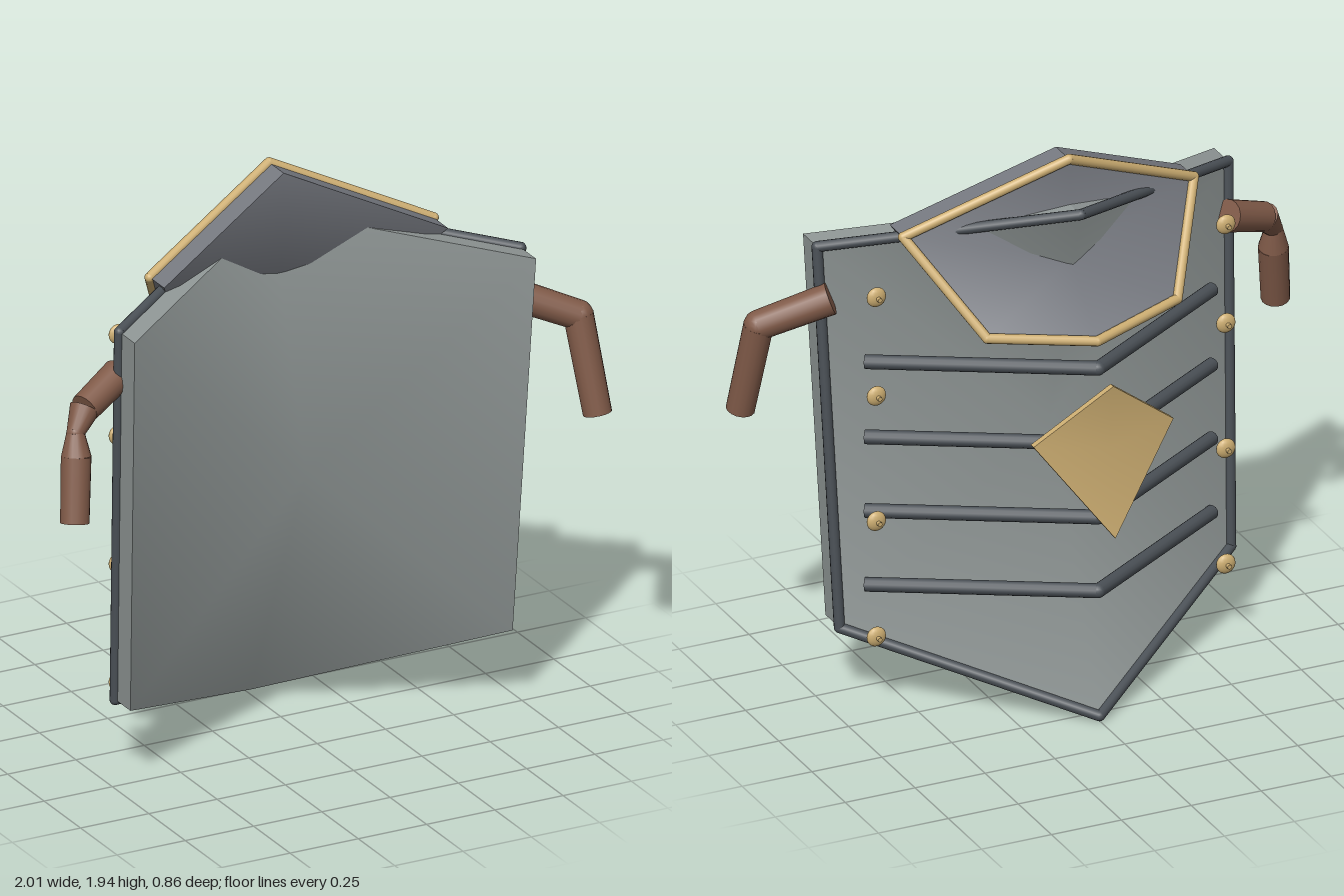
import * as THREE from 'three';

const mat = (name, color) => {
  const m = new THREE.MeshStandardMaterial({ color });
  m.name = name;
  return m;
};
const V = (p) => new THREE.Vector3(...p);

export function createModel() {
  const steel = mat('steel', 0x8f9695);
  const collarSteel = mat('collar steel', 0x767980);
  const darkSteel = mat('dark steel', 0x4b5157);
  const gold = mat('gold', 0xcdae72);
  const leather = mat('leather', 0x815b49);

  const model = new THREE.Group();
  model.name = 'breastplate';

  const add = (name, geometry, material, parent = model) => {
    const mesh = new THREE.Mesh(geometry, material);
    mesh.name = name;
    parent.add(mesh);
    return mesh;
  };
  const group = (name) => {
    const g = new THREE.Group();
    g.name = name;
    model.add(g);
    return g;
  };

  // Full outline, counter-clockwise from the front, from top, side and bottom points
  const mirrorOutline = (top, sides, bottom) => [
    top, ...sides.map(([x, y, z]) => [-x, y, z]), bottom, ...sides.slice().reverse(),
  ];

  // Folded plate: faces fan out from the mean of the outline, with flat side walls
  function plate(outline, depth) {
    const n = outline.length;
    const centre = [0, 1, 2].map((k) => outline.reduce((s, p) => s + p[k], 0) / n);
    const pos = [], index = [];
    for (const dz of [depth, 0]) {
      const base = pos.length / 3;
      for (const p of [centre, ...outline]) pos.push(p[0], p[1], p[2] + dz);
      for (let i = 0; i < n; i++) {
        const a = base + 1 + i, b = base + 1 + ((i + 1) % n);
        index.push(base, ...(dz ? [a, b] : [b, a]));
      }
    }
    for (let i = 0; i < n; i++) {
      const a = outline[i], b = outline[(i + 1) % n], s = pos.length / 3;
      pos.push(...a, ...b, b[0], b[1], b[2] + depth, a[0], a[1], a[2] + depth);
      index.push(s, s + 1, s + 2, s, s + 2, s + 3);
    }
    const g = new THREE.BufferGeometry();
    g.setAttribute('position', new THREE.Float32BufferAttribute(pos, 3));
    g.setIndex(index);
    g.computeVertexNormals();
    return g;
  }

  // Straight rod from a to b
  function rod(name, a, b, r0, r1, material, parent, sides = 12) {
    const from = V(a), dir = V(b).sub(from);
    const mesh = add(name, new THREE.CylinderGeometry(r1, r0, dir.length(), sides), material, parent);
    mesh.position.copy(from).addScaledVector(dir, 0.5);
    mesh.quaternion.setFromUnitVectors(new THREE.Vector3(0, 1, 0), dir.normalize());
  }
  function ball(name, p, r, material, parent) {
    add(name, new THREE.SphereGeometry(r, 14, 10), material, parent).position.set(...p);
  }
  function rim(name, outline, r, material) {
    const g = group(name);
    outline.forEach((p, i) => {
      rod('rimRod', p, outline[(i + 1) % outline.length], r, r, material, g);
      ball('rimJoint', p, r, material, g);
    });
  }

  // Main plate with its rolled edge
  const body = mirrorOutline([0, 1.76, -0.17], [[0.735, 1.605, 0.27], [0.7, 0.27, 0.175]], [0, 0.02, -0.31]);
  add('mainPlate', plate(body, 0.105), steel);
  rim('plateRim', body, 0.018, darkSteel);

  // Neck collar with a gold edge
  const collar = mirrorOutline([0, 1.92, -0.08], [[0.52, 1.68, 0.075], [0.34, 1.39, -0.18]], [0, 1.36, -0.295]);
  add('collar', plate(collar, 0.1), collarSteel);
  rim('collarRim', collar, 0.017, gold);

  // Diamond-shaped ornament
  const diamond = mirrorOutline([0, 1.25, -0.415], [[0.25, 1.05, -0.34]], [0, 0.71, -0.43]);
  add('diamondOrnament', plate(diamond, 0.022), gold);

  // Four bent ribs
  for (const y of [0.42, 0.685, 0.95, 1.22]) {
    const g = group('rib');
    const apex = [0, y + 0.045, -0.3];
    for (const s of [-1, 1]) rod('ribRod', [s * 0.62, y, 0.15], apex, 0.024, 0.024, darkSteel, g);
    ball('ribJoint', apex, 0.024, darkSteel, g);
  }

  for (const s of [-1, 1]) {
    // Rivets: flat domes with a small knob
    for (const y of [0.275, 0.69, 1.14, 1.495]) {
      const g = group('rivet');
      g.position.set(s * 0.625, y, 0.055);
      add('dome', new THREE.SphereGeometry(0.034, 16, 10), gold, g).scale.z = 0.5;
      rod('knob', [0, 0, 0], [0, 0, -0.03], 0.008, 0.008, gold, g, 8);
    }

    // Shoulder straps; the one on the -x side is pinched at its bend
    const g = group('strap');
    const top = [s * 0.71, 1.435, 0.22], end = [s * 0.957, 1.02, 0.38];
    if (s > 0) {
      const elbow = [0.925, 1.345, 0.31];
      rod('upperStrap', top, elbow, 0.054, 0.05, leather, g, 16);
      ball('strapBend', elbow, 0.05, leather, g);
      rod('lowerStrap', elbow, end, 0.05, 0.048, leather, g, 16);
    } else {
      const upper = [-0.87, 1.37, 0.285], pinch = [-0.92, 1.305, 0.315], lower = [-0.927, 1.23, 0.333];
      rod('upperStrap', top, upper, 0.054, 0.05, leather, g, 16);
      rod('upperPinch', upper, pinch, 0.05, 0.03, leather, g, 16);
      ball('strapBend', pinch, 0.03, leather, g);
      rod('lowerPinch', pinch, lower, 0.03, 0.05, leather, g, 16);
      rod('lowerStrap', lower, end, 0.05, 0.048, leather, g, 16);
    }
  }
  return model;
}
